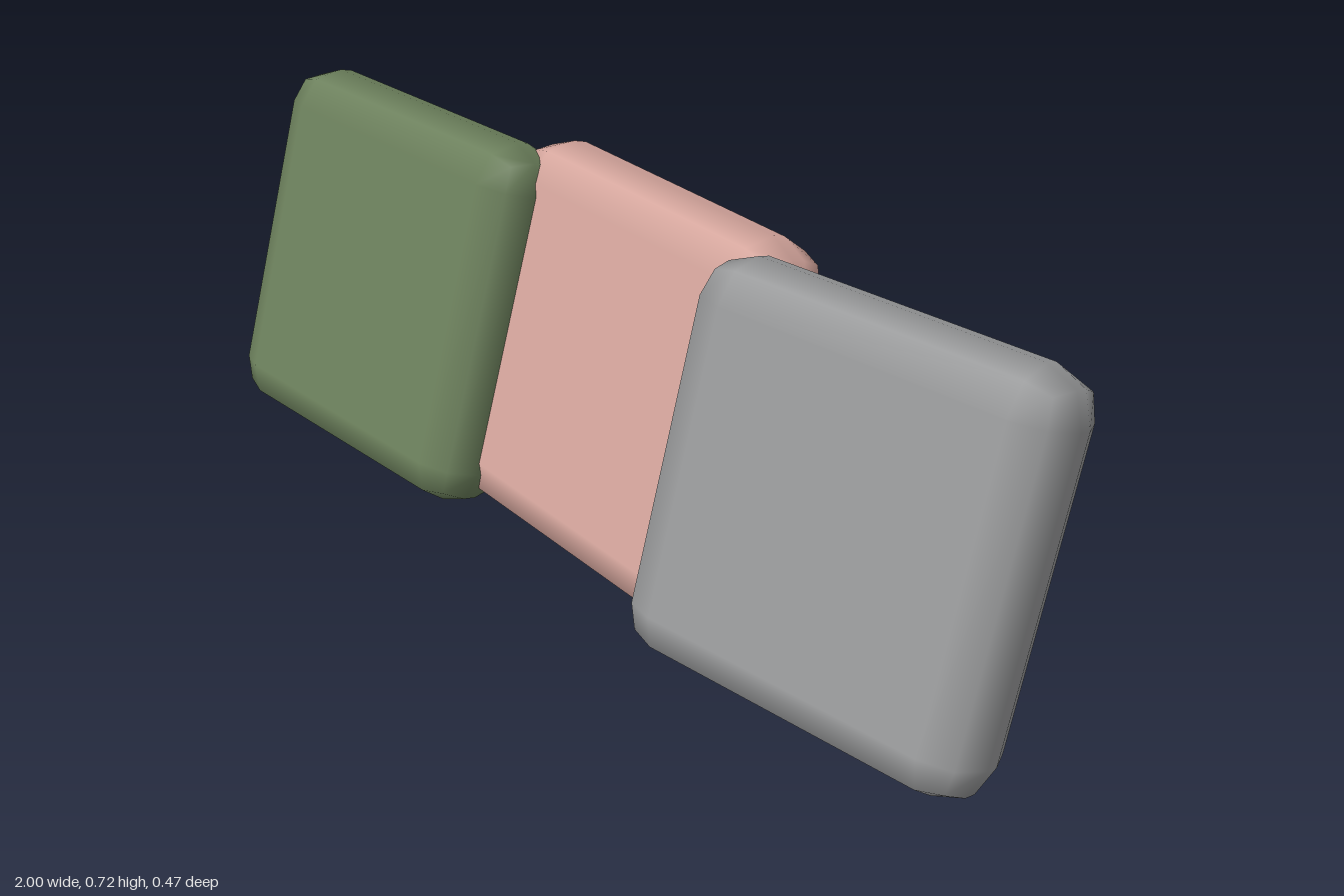
import * as THREE from 'three';
import { RoundedBoxGeometry } from 'three/addons/geometries/RoundedBoxGeometry.js';

const TILT = -0.297; // every cushion leans back by 17 degrees

function material(name, color) {
  const m = new THREE.MeshStandardMaterial({ color });
  m.name = name;
  return m;
}

export function createModel() {
  const group = new THREE.Group();
  group.name = 'cushionRow';

  // One square cushion with a two-step rounded edge, shared by all three
  const cushion = new RoundedBoxGeometry(0.74, 0.74, 0.198, 1, 0.085);

  const addCushion = (name, mat, x, z, yaw) => {
    const mesh = new THREE.Mesh(cushion, mat);
    mesh.name = name;
    mesh.position.set(x, 0.358, z);
    mesh.rotation.set(TILT, yaw, 0, 'YXZ');
    group.add(mesh);
  };

  // Outer cushions sit in front of the middle one, each turned slightly
  addCushion('rightCushion', material('mossGreen', 0x6b7f5b), -0.63, 0.033, 0.014);
  addCushion('middleCushion', material('dustyPink', 0xd4a59c), -0.004, -0.041, -0.068);
  addCushion('leftCushion', material('warmGrey', 0x969798), 0.622, 0.033, 0.084);

  return group;
}
